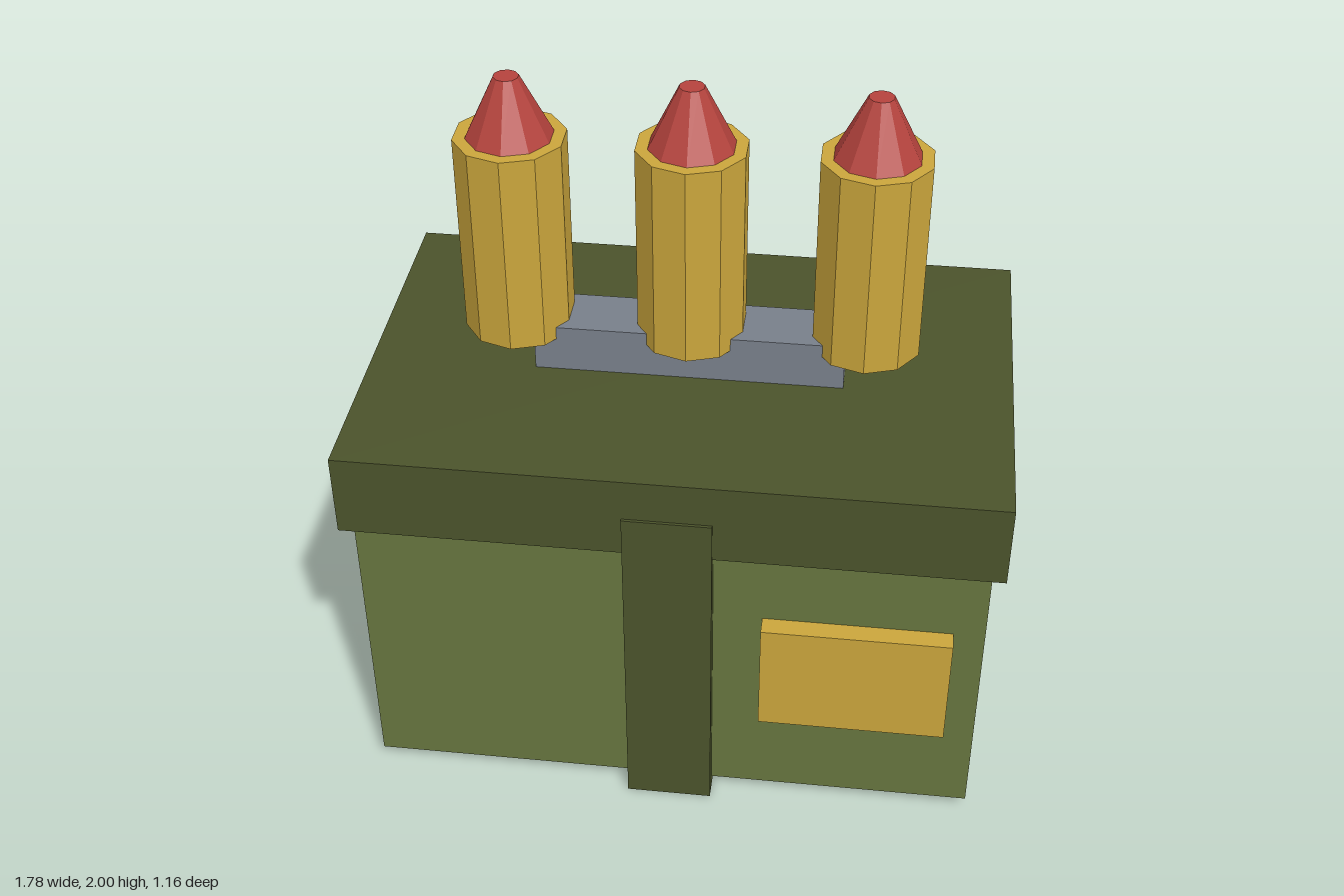
import * as THREE from 'three';

const paint = (name, color) => {
  const m = new THREE.MeshStandardMaterial({ color });
  m.name = name;
  return m;
};

export function createModel() {
  const olive = paint('olive green', 0x66753f);
  const darkOlive = paint('dark olive', 0x4b532b);
  const brass = paint('brass', 0xcaa53c);
  const red = paint('red', 0xb5433d);
  const steel = paint('steel grey', 0x787f8a);

  const model = new THREE.Group();
  model.name = 'ammunitionBox';

  const add = (parent, name, geometry, material, x, y, z) => {
    const mesh = new THREE.Mesh(geometry, material);
    mesh.name = name;
    mesh.position.set(x, y, z);
    parent.add(mesh);
    return mesh;
  };

  // Box between two corners
  const block = (name, material, [x0, y0, z0], [x1, y1, z1]) =>
    add(model, name, new THREE.BoxGeometry(x1 - x0, y1 - y0, z1 - z0), material,
      (x0 + x1) / 2, (y0 + y1) / 2, (z0 + z1) / 2);

  // Crate, lid and the strap around the middle
  block('body', olive, [-0.855, 0.045, -0.535], [0.855, 0.92, 0.525]);
  block('lid', darkOlive, [-0.89, 0.91, -0.572], [0.89, 1.15, 0.555]);
  block('strap', darkOlive, [-0.12, 0, -0.58], [0.12, 1.027, 0.563]);

  // Label plate on the front and handle on the lid
  block('labelPlate', brass, [0.255, 0.345, 0.52], [0.77, 0.687, 0.58]);
  block('handle', steel, [-0.427, 1.14, -0.09], [0.427, 1.287, 0.08]);

  // Three faceted rounds: flat-sided case with a blunt tip
  const facets = (top, bottom, height) => {
    const g = new THREE.CylinderGeometry(top, bottom, height, 10).toNonIndexed();
    g.computeVertexNormals();
    return g;
  };
  const caseGeometry = facets(0.152, 0.152, 0.58);
  const tipGeometry = facets(0.034, 0.118, 0.17);
  ['right', 'middle', 'left'].forEach((side, i) => {
    const round = new THREE.Group();
    round.name = side + 'Round';
    round.position.set((i - 1) * 0.48, 0, -0.008);
    add(round, 'case', caseGeometry, brass, 0, 1.54, 0);
    add(round, 'tip', tipGeometry, red, 0, 1.915, 0);
    model.add(round);
  });

  return model;
}
